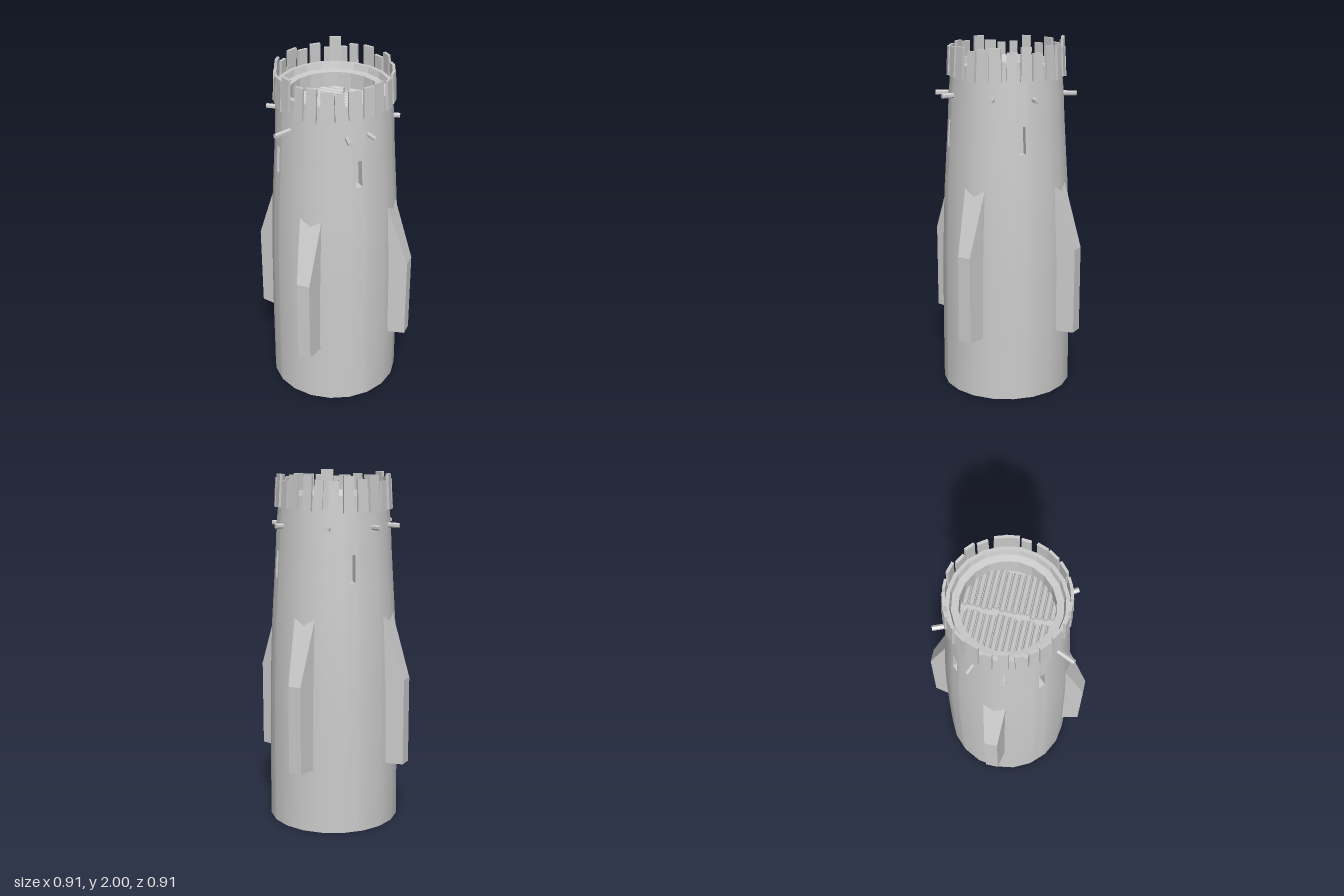
import * as THREE from 'three';

const SIDES = 20;
const mat = new THREE.MeshStandardMaterial({ color: 0xcccccc, side: THREE.DoubleSide });
const flat = new THREE.MeshStandardMaterial({ color: 0xcccccc, side: THREE.DoubleSide, flatShading: true });

// Outer wall as [radius, height]; rows 1.4 and 1.55 bound the window slits
const PROFILE = [[0.37, 0], [0.369, 0.4], [0.364, 0.8], [0.352, 1.15], [0.336, 1.4], [0.327, 1.55], [0.32, 1.7], [0.312, 1.78], [0.31, 1.86]];
const SLIT = { bottom: 1.4, top: 1.55, half: 0.019, depth: 0.05 };

function seeded(seed) {
  return () => (seed = (seed * 16807) % 2147483647) / 2147483647;
}

function add(group, name, geometry, material = mat) {
  const mesh = new THREE.Mesh(geometry, material);
  mesh.name = name;
  group.add(mesh);
  return mesh;
}

function build(points, index) {
  const g = new THREE.BufferGeometry();
  g.setAttribute('position', new THREE.Float32BufferAttribute(points, 3));
  g.setIndex(index);
  g.computeVertexNormals();
  return g;
}

// Tapered wall; each diagonal facet is split into three columns to leave a slit
function wallGeometry() {
  const columns = [];
  for (let i = 0; i < SIDES; i++) {
    const a = (i / SIDES) * Math.PI * 2, b = ((i + 1) / SIDES) * Math.PI * 2;
    const at = (t) => [Math.sin(a) * (1 - t) + Math.sin(b) * t, Math.cos(a) * (1 - t) + Math.cos(b) * t];
    columns.push({ dir: at(0) });
    if (i % 5 === 2) columns.push({ dir: at(0.32), slit: true }, { dir: at(0.68) });
  }
  const points = [], index = [], n = columns.length;
  for (const [r, y] of PROFILE) for (const c of columns) points.push(c.dir[0] * r, y, c.dir[1] * r);
  for (let j = 0; j < PROFILE.length - 1; j++) {
    for (let i = 0; i < n; i++) {
      if (columns[i].slit && PROFILE[j][1] === SLIT.bottom) continue;
      const a = j * n + i, b = j * n + (i + 1) % n;
      index.push(a, b, b + n, a, b + n, a + n);
    }
  }
  return build(points, index);
}

// Recess behind a slit: four reveals and a back, open at the front
function recessGeometry() {
  const w = SLIT.half, k = Math.cos(Math.PI / SIDES), p = [], index = [];
  for (const d of [0, SLIT.depth]) {
    for (const [x, y, r] of [[-w, SLIT.bottom, 0.336], [w, SLIT.bottom, 0.336], [w, SLIT.top, 0.327], [-w, SLIT.top, 0.327]]) p.push(x, y, r * k - d);
  }
  for (let i = 0; i < 4; i++) {
    const j = (i + 1) % 4;
    index.push(i, j, j + 4, i, j + 4, i + 4);
  }
  index.push(4, 5, 6, 4, 6, 7);
  return build(p, index);
}

// Buttress shell: trapezoid section, upright then sloping back into the wall
function buttressGeometry() {
  const points = [], index = [];
  for (const [y, r, w] of [[0.36, 0.457, 0.037], [0.85, 0.457, 0.037], [1.23, 0.33, 0.064]]) {
    points.push(-0.064, y, 0.33, -w, y, r, w, y, r, 0.064, y, 0.33);
  }
  for (let j = 0; j < 2; j++) {
    for (let i = 0; i < 3; i++) {
      const a = j * 4 + i;
      index.push(a, a + 1, a + 5, a, a + 5, a + 4);
    }
  }
  return build(points, index);
}

export function createModel() {
  const model = new THREE.Group();
  model.name = 'tower';
  const rand = seeded(71);

  add(model, 'wall', wallGeometry());

  // Stepped rim and the inner well above the floor
  const rim = [[0.31, 1.86], [0.29, 1.86], [0.282, 1.825], [0.245, 1.82], [0.245, 1.7]];
  add(model, 'rim', new THREE.LatheGeometry(rim.map(([r, y]) => new THREE.Vector2(r, y)), SIDES), flat);

  // Four buttresses and four diagonal slits
  const buttress = buttressGeometry(), recess = recessGeometry();
  for (let i = 0; i < 4; i++) {
    const a = (i * Math.PI) / 2;
    add(model, 'buttress', buttress, flat).rotation.y = a;
    add(model, 'windowSlit', recess, flat).rotation.y = a + Math.PI / 4;
  }

  // Log floor in two columns over a base disc
  add(model, 'floorBase', new THREE.CircleGeometry(0.25, SIDES).rotateX(-Math.PI / 2)).position.y = 1.71;
  for (let i = 0; i < 15; i++) {
    const z = -0.225 + i * 0.0321;
    for (const side of [-1, 1]) {
      const half = Math.min(0.215, Math.sqrt(0.27 * 0.27 - z * z) - 0.02);
      const log = add(model, 'floorLog', new THREE.CylinderGeometry(0.014, 0.014, half, 8).rotateZ(Math.PI / 2));
      log.position.set(side * (0.015 + half / 2) - 0.01 + (rand() - 0.5) * 0.02, 1.725, z);
    }
  }

  // Crown of uneven planks, leaning slightly inward
  const count = 26;
  for (let i = 0; i < count; i++) {
    const a = ((i + (rand() - 0.5) * 0.3) / count) * Math.PI * 2;
    const bottom = 1.77 + rand() * 0.025, top = 1.93 + rand() * 0.042;
    const plank = new THREE.Group();
    plank.name = 'crownPlank';
    plank.rotation.y = a;
    const board = add(plank, 'board', new THREE.BoxGeometry(0.045 + rand() * 0.025, top - bottom, 0.015), flat);
    board.position.set(0, (top + bottom) / 2, 0.313 + rand() * 0.006);
    board.rotation.set(-0.05, 0, (rand() - 0.5) * 0.06);
    model.add(plank);
  }
  // One taller plank at the back
  const tall = add(model, 'tallPlank', new THREE.BoxGeometry(0.065, 0.2, 0.016), flat);
  tall.position.set(-0.112, 1.9, -0.288);
  tall.rotation.y = Math.atan2(-0.112, -0.288);

  // Pegs sticking out below the crown, placed by their outer ends
  const pegs = [[-0.148, -0.36], [-0.35, -0.137], [-0.376, 0.056], [-0.175, 0.38], [0.22, 0.325], [0.317, 0.217], [0.198, -0.303], [0.338, -0.1]];
  for (const [x, z] of pegs) {
    const r = Math.hypot(x, z);
    const peg = add(model, 'peg', new THREE.CylinderGeometry(0.014, 0.014, 0.12, 6).rotateX(Math.PI / 2), flat);
    peg.position.set(x * (1 - 0.06 / r), 1.69, z * (1 - 0.06 / r));
    peg.rotation.y = Math.atan2(x, z);
  }
  return model;
}
